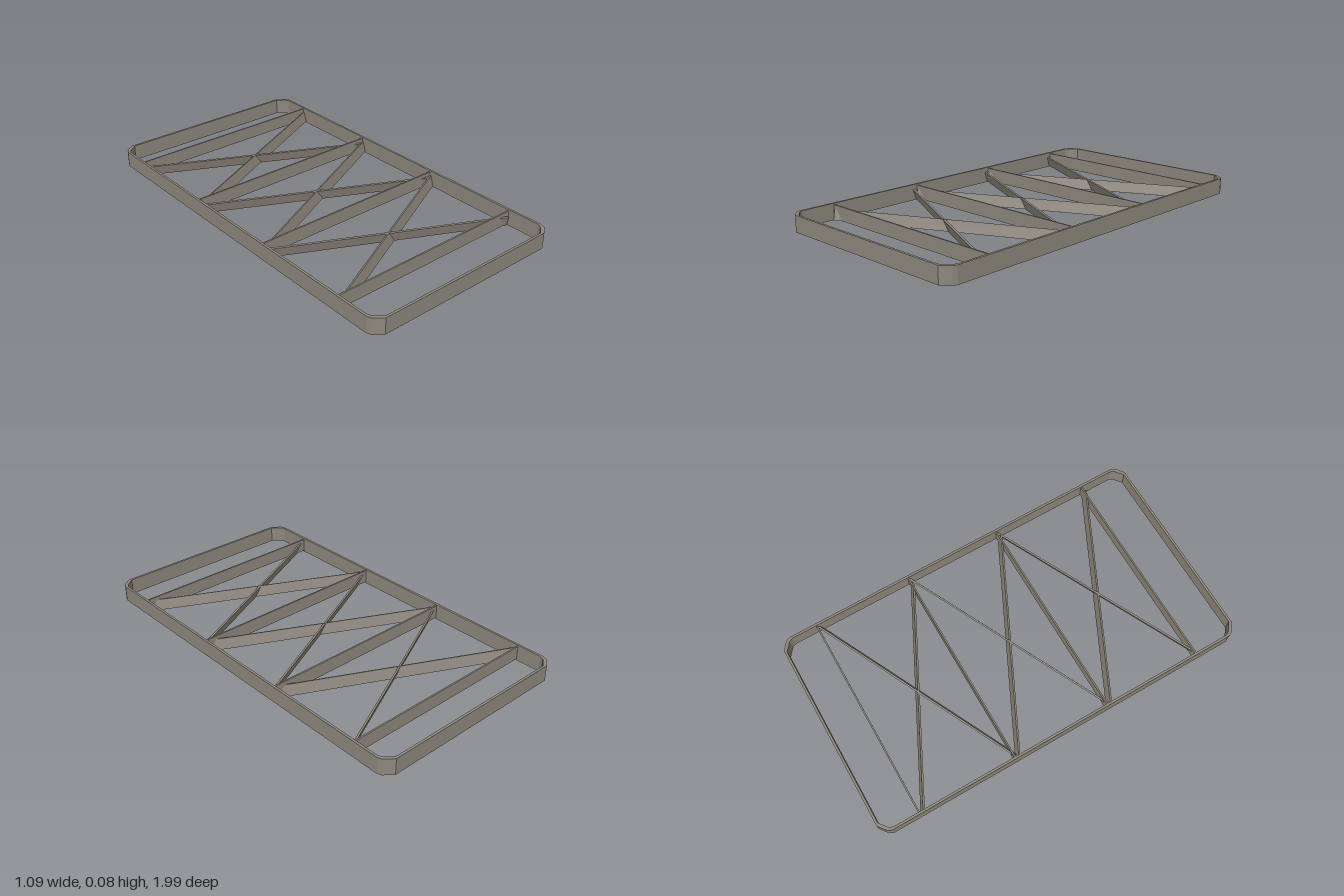
import * as THREE from 'three';

const HEIGHT = 0.083;

// Rectangle outline with faceted corners
function outline(halfX, halfZ, PathClass) {
  const corner = [[halfX, halfZ - 0.055], [halfX - 0.009, halfZ - 0.034], [halfX - 0.052, halfZ]];
  const flipped = [...corner].reverse();
  const points = [
    ...corner,
    ...flipped.map(([x, z]) => [-x, z]),
    ...corner.map(([x, z]) => [-x, -z]),
    ...flipped.map(([x, z]) => [x, -z]),
  ];
  return new PathClass(points.map(([x, z]) => new THREE.Vector2(x, z)));
}

export function createModel() {
  const model = new THREE.Group();
  model.name = 'bracedFrame';
  const metal = new THREE.MeshStandardMaterial({ color: 0x8c877d });
  metal.name = 'warm grey metal';

  const add = (name, geometry) => {
    const mesh = new THREE.Mesh(geometry, metal);
    mesh.name = name;
    model.add(mesh);
    return mesh;
  };

  // Outer band standing on the ground
  const wall = 0.012;
  const shape = outline(0.547, 0.997, THREE.Shape);
  shape.holes.push(outline(0.547 - wall, 0.997 - wall, THREE.Path));
  const band = new THREE.ExtrudeGeometry(shape, { depth: HEIGHT, bevelEnabled: false });
  band.rotateX(-Math.PI / 2);
  add('outerFrame', band);

  // Four upright cross slats
  const slat = new THREE.BoxGeometry(1.08, 0.07, 0.008);
  [-0.798, -0.281, 0.236, 0.753].forEach((z, i) => {
    add(`crossSlat${i + 1}`, slat).position.set(0, HEIGHT / 2, z);
  });

  // Three pairs of crossed braces, each leaning over on its long axis
  const brace = new THREE.BoxGeometry(1.18, 0.056, 0.009);
  [-0.527, -0.01, 0.507].forEach((z, i) => {
    for (const side of [1, -1]) {
      const mesh = add(`diagonalBrace${i + 1}${side > 0 ? 'A' : 'B'}`, brace);
      mesh.position.set(side * 0.01, 0.031, z);
      mesh.rotation.set(-side * 0.3, side * 0.453, 0, 'YXZ');
    }
  });

  return model;
}
